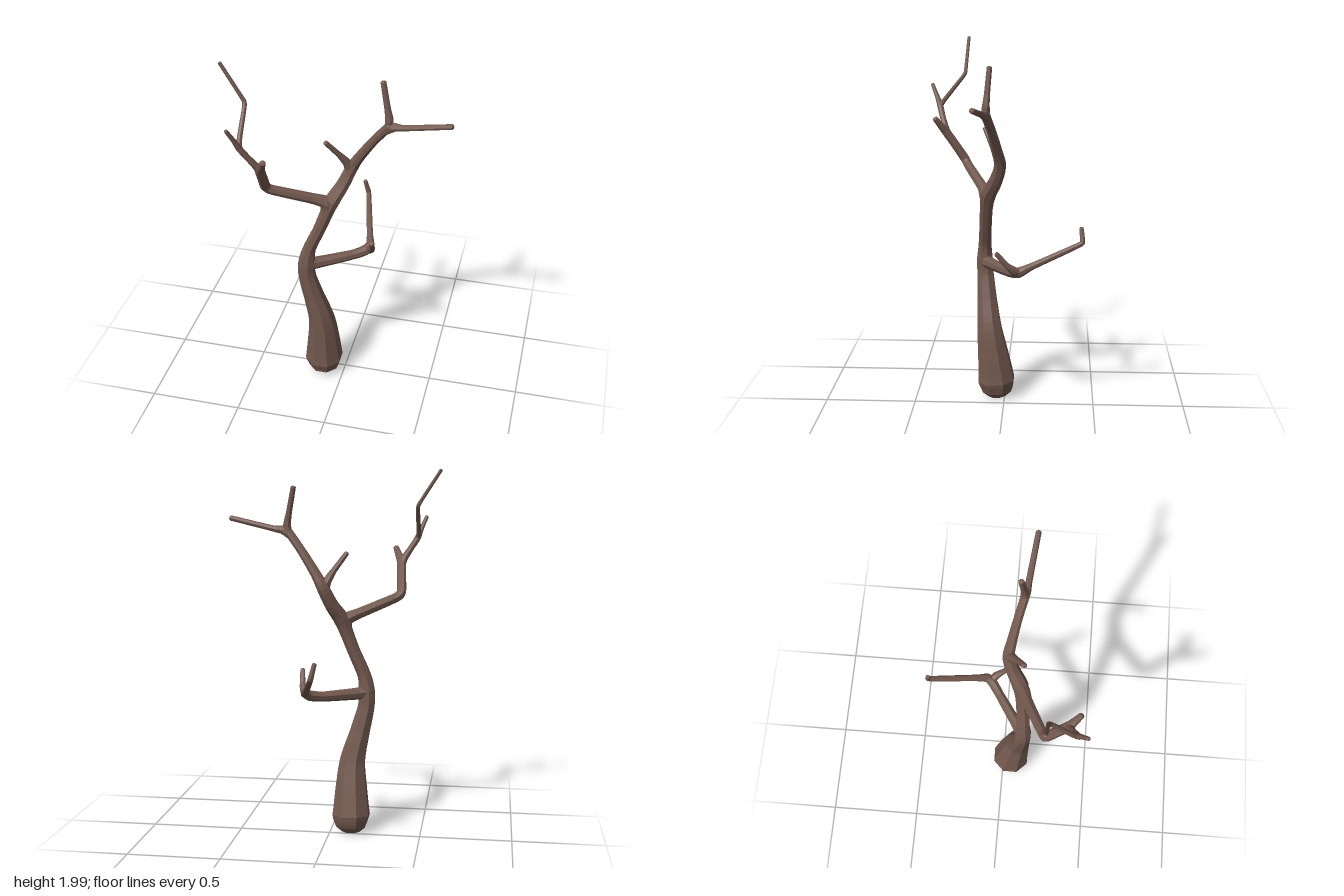
import * as THREE from 'three';

const SIDES = 8;
const STEPS = 4;

// Lofts an eight-sided limb through rows of [x, y, z, radius], with rounded ends.
function limbGeometry(rows, tension) {
  const curve = new THREE.CatmullRomCurve3(
    rows.map(([x, y, z]) => new THREE.Vector3(x, y, z)), false, 'catmullrom', tension);
  const count = (rows.length - 1) * STEPS;
  const rings = [];
  for (let i = 0; i <= count; i++) {
    const k = Math.min(Math.floor(i / STEPS), rows.length - 2);
    const r = THREE.MathUtils.lerp(rows[k][3], rows[k + 1][3], i / STEPS - k);
    rings.push({ p: curve.getPoint(i / count), t: curve.getTangent(i / count), r: r * 1.04 });
  }
  // Narrow rings round off both ends
  const cap = (ring, dir) => ({
    p: ring.p.clone().addScaledVector(ring.t, dir * ring.r * 0.35), t: ring.t, r: ring.r * 0.6,
  });
  rings.unshift(cap(rings[0], -1));
  rings.push(cap(rings[rings.length - 1], 1));

  const positions = [];
  const index = [];
  const normal = new THREE.Vector3(1, 0, 0);
  if (Math.abs(rings[0].t.x) > 0.9) normal.set(0, 1, 0);
  for (const { p, t, r } of rings) {
    // Carry the ring's direction along so the limb does not twist
    normal.addScaledVector(t, -normal.dot(t)).normalize();
    const side = new THREE.Vector3().crossVectors(t, normal);
    for (let j = 0; j < SIDES; j++) {
      const a = ((j + 0.5) / SIDES) * Math.PI * 2;
      const v = p.clone().addScaledVector(normal, Math.cos(a) * r).addScaledVector(side, Math.sin(a) * r);
      positions.push(v.x, v.y, v.z);
    }
  }
  const last = (rings.length - 1) * SIDES;
  const start = positions.length / 3;
  for (const ring of [rings[0], rings[rings.length - 1]]) positions.push(ring.p.x, ring.p.y, ring.p.z);
  for (let j = 0; j < SIDES; j++) {
    const n = (j + 1) % SIDES;
    for (let i = 0; i < last; i += SIDES) {
      index.push(i + j, i + n, i + SIDES + n, i + j, i + SIDES + n, i + SIDES + j);
    }
    index.push(start, n, j, start + 1, last + j, last + n);
  }
  const geometry = new THREE.BufferGeometry();
  geometry.setAttribute('position', new THREE.Float32BufferAttribute(positions, 3));
  geometry.setIndex(index);
  geometry.computeVertexNormals();
  return geometry;
}

export function createModel() {
  const tree = new THREE.Group();
  tree.name = 'bareTree';
  const bark = new THREE.MeshStandardMaterial({ color: 0x73594f, flatShading: true });

  function limb(name, rows, tension = 0.3) {
    const mesh = new THREE.Mesh(limbGeometry(rows, tension), bark);
    mesh.name = name;
    tree.add(mesh);
  }

  // Trunk with a swollen foot, running on into the main limb up to its fork
  limb('trunk', [
    [-0.115, 0.035, 0.045, 0.083], [-0.115, 0.1, 0.047, 0.104], [-0.113, 0.25, 0.065, 0.087],
    [-0.117, 0.4, 0.085, 0.07], [-0.155, 0.56, 0.1, 0.055], [-0.188, 0.7, 0.111, 0.046],
    [-0.19, 0.79, 0.115, 0.045], [-0.175, 0.88, 0.113, 0.036], [-0.12, 1.01, 0.105, 0.034],
    [-0.082, 1.11, 0.098, 0.036], [-0.052, 1.19, 0.085, 0.042], [-0.005, 1.27, 0.045, 0.036],
    [0.036, 1.36, 0.018, 0.033], [0.08, 1.44, 0.028, 0.027], [0.16, 1.56, 0.053, 0.023],
    [0.225, 1.645, 0.076, 0.023], [0.25, 1.672, 0.083, 0.025],
  ], 0.5);

  // Upper fork
  limb('upperLongTwig', [
    [0.22, 1.635, 0.075, 0.02], [0.265, 1.668, 0.085, 0.024],
    [0.32, 1.676, 0.095, 0.016], [0.565, 1.73, 0.124, 0.014],
  ]);
  limb('upperShortTwig', [
    [0.235, 1.64, 0.077, 0.02], [0.243, 1.7, 0.079, 0.021],
    [0.232, 1.76, 0.074, 0.016], [0.205, 1.9, 0.062, 0.014],
  ]);
  limb('middleTwig', [
    [0.03, 1.32, 0.022, 0.024], [0.022, 1.39, 0.028, 0.025],
    [-0.015, 1.455, 0.058, 0.016], [-0.08, 1.547, 0.104, 0.013],
  ]);

  // Right limb with its two forks
  limb('rightLimb', [
    [-0.08, 1.12, 0.098, 0.03], [-0.078, 1.185, 0.102, 0.036], [-0.14, 1.215, 0.125, 0.028],
    [-0.335, 1.295, 0.215, 0.025], [-0.366, 1.325, 0.235, 0.026], [-0.362, 1.4, 0.285, 0.025],
    [-0.356, 1.48, 0.34, 0.025], [-0.338, 1.52, 0.37, 0.019], [-0.32, 1.56, 0.398, 0.015],
  ]);
  limb('rightOuterTwig', [
    [-0.358, 1.455, 0.325, 0.02], [-0.37, 1.5, 0.345, 0.02], [-0.405, 1.555, 0.363, 0.016],
    [-0.443, 1.615, 0.381, 0.017], [-0.46, 1.66, 0.397, 0.013], [-0.49, 1.732, 0.428, 0.01],
  ]);
  limb('rightTallTwig', [
    [-0.437, 1.605, 0.385, 0.014], [-0.449, 1.645, 0.36, 0.013], [-0.45, 1.775, 0.255, 0.011],
    [-0.455, 1.802, 0.238, 0.011], [-0.475, 1.835, 0.235, 0.01], [-0.575, 1.99, 0.225, 0.009],
  ]);

  // Low limb reaching back on the left
  limb('lowLimb', [
    [-0.195, 0.785, 0.118, 0.045], [-0.145, 0.778, 0.085, 0.032], [0.03, 0.78, -0.03, 0.026],
    [0.095, 0.792, -0.075, 0.028], [0.115, 0.81, -0.105, 0.025], [0.102, 0.835, -0.16, 0.018],
    [0.04, 0.937, -0.405, 0.014], [0.033, 0.957, -0.424, 0.014], [0.015, 1.028, -0.418, 0.011],
  ]);
  limb('lowShortTwig', [
    [0.095, 0.79, -0.085, 0.02], [0.127, 0.81, -0.065, 0.023],
    [0.143, 0.845, -0.025, 0.016], [0.153, 0.915, 0.033, 0.012],
  ]);

  return tree;
}
